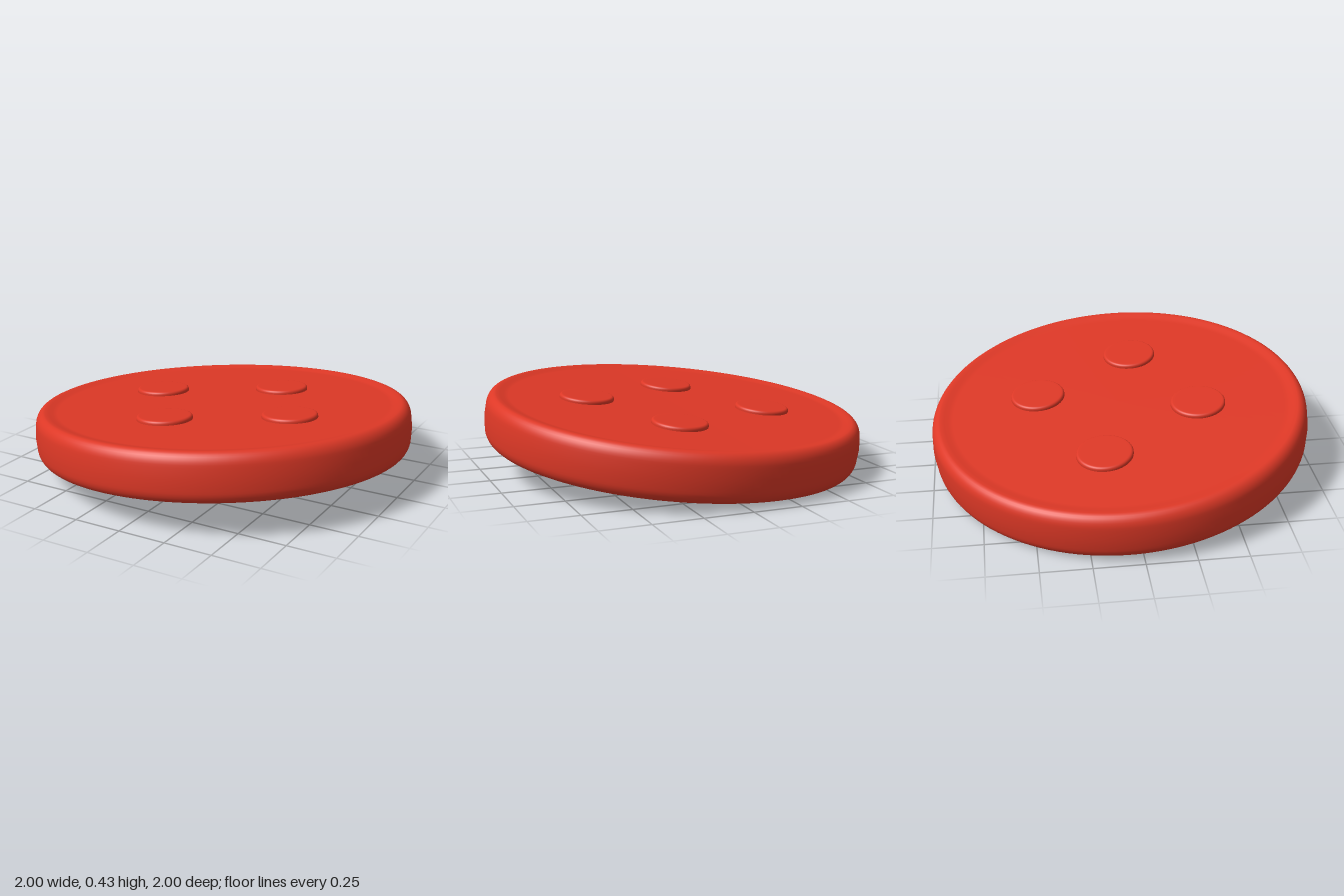
import * as THREE from 'three';

const material = new THREE.MeshStandardMaterial({ color: 0xdd3826 });

// Smooth solid of revolution through a profile of [radius, height] pairs
function lathe(name, points, segments) {
  const profile = points.map(([r, y]) => new THREE.Vector2(r, y));
  const mesh = new THREE.Mesh(new THREE.LatheGeometry(profile, segments), material);
  mesh.name = name;
  return mesh;
}

// Rounded corner points about (cx, cy), from angle a to angle b
function arc(cx, cy, rx, ry, a, b, steps = 8) {
  return Array.from({ length: steps + 1 }, (_, i) => {
    const t = a + ((b - a) * i) / steps;
    return [cx + rx * Math.cos(t), cy + ry * Math.sin(t)];
  });
}

export function createModel() {
  const model = new THREE.Group();
  model.name = 'button';
  const disc = new THREE.Group();
  disc.name = 'tiltedDisc';
  model.add(disc);

  // Body: rounded wall with a very low lip round both flat faces
  const half = 0.124, face = 0.112, q = Math.PI / 2;
  disc.add(lathe('body', [
    [0, -face], [0.9, -face], [0.915, -face - 0.002], [0.932, -half + 0.002],
    ...arc(0.945, -half + 0.07, 0.05, 0.07, -q, 0),
    [1, 0],
    ...arc(0.945, half - 0.07, 0.05, 0.07, 0, q),
    [0.925, half - 0.003], [0.905, face + 0.003], [0.88, face], [0, face],
  ], 128));

  // Four low round studs on the upper face
  const spots = [[0.14, -0.42], [-0.46, -0.125], [0.455, 0.12], [-0.11, 0.41]];
  spots.forEach(([x, z], i) => {
    const stud = lathe(`stud${i + 1}`, [
      [0.144, -0.02], [0.144, 0.008],
      ...arc(0.13, 0.008, 0.014, 0.014, 0, q, 6),
      [0.12, 0.022], [0, 0.022],
    ], 48);
    stud.position.set(x, face, z);
    disc.add(stud);
  });

  // Lean the disc so its front left side is highest
  const up = new THREE.Vector3(-0.07, 1, -0.07).normalize();
  disc.quaternion.setFromUnitVectors(new THREE.Vector3(0, 1, 0), up);
  disc.position.y = 0.2175;
  return model;
}
